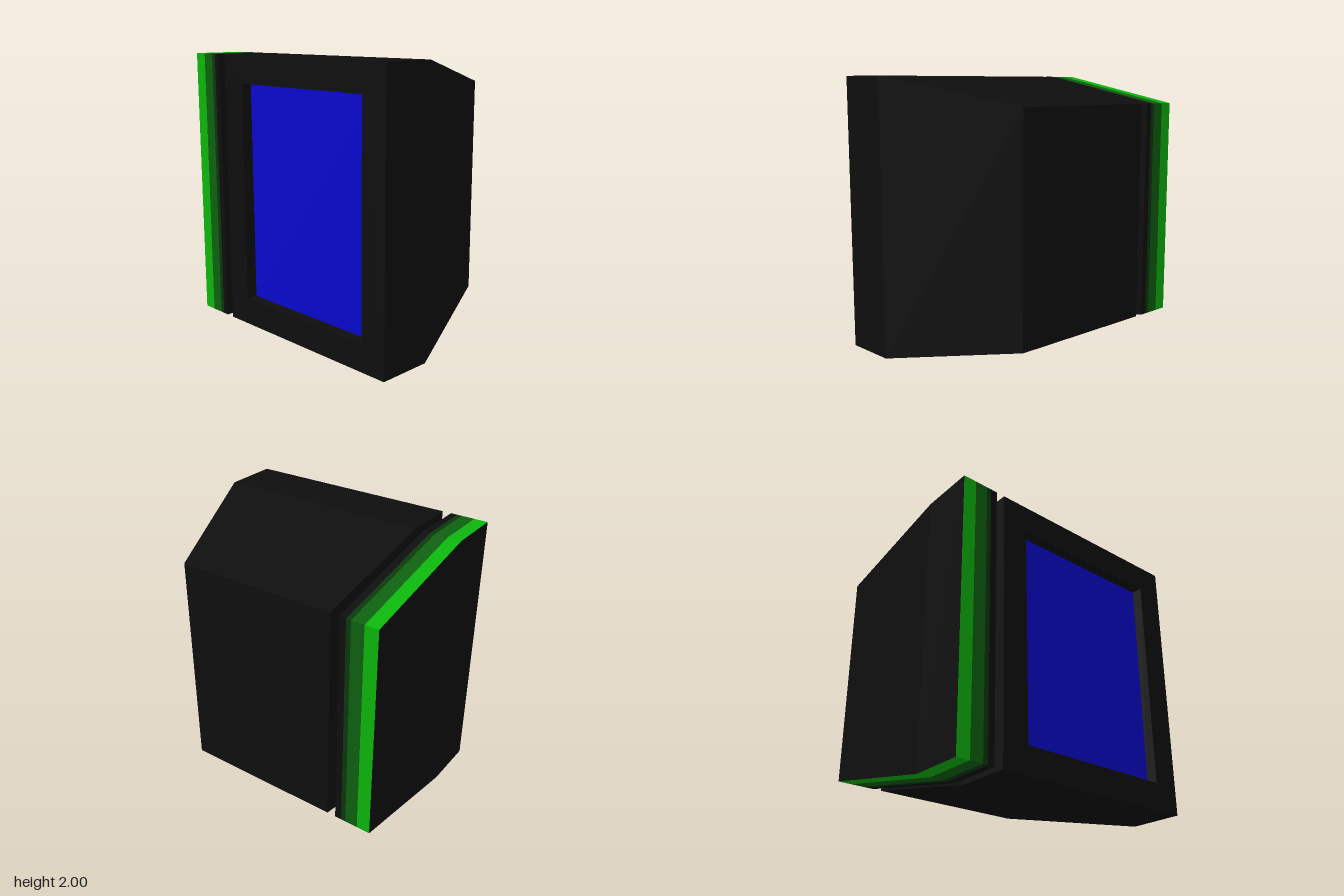
import * as THREE from 'three';

const material = (name, color) => {
  const m = new THREE.MeshStandardMaterial({ color });
  m.name = name;
  return m;
};

// Block with a straight stretch up to x = -0.3, then tapering towards x = 0.7.
// chamfer is how far its front face retreats at the narrow end.
function taperedBlock(xStart, zBack, zFront, chamfer = 0) {
  const box = new THREE.BoxGeometry(2, 2, 2, 2, 1, 1);
  const p = box.attributes.position;
  for (let i = 0; i < p.count; i++) {
    const narrow = p.getX(i) > 0.5;
    const x = narrow ? 0.7 : p.getX(i) < -0.5 ? xStart : -0.3;
    const y = 1 + p.getY(i) * (narrow ? 0.8 : 1);
    const z = p.getZ(i) > 0 ? zFront - (narrow ? chamfer : 0) : zBack;
    p.setXYZ(i, x, y, z);
  }
  const g = box.toNonIndexed();
  g.computeVertexNormals();
  return g;
}

export function createModel() {
  const black = material('black casing', 0x0e0e0e);
  const bright = material('bright green', 0x0cb40c);
  const mid = material('mid green', 0x0d600f);
  const deep = material('deep green', 0x0c360d);
  const blue = material('blue glass', 0x0808cc);

  const model = new THREE.Group();
  const add = (name, geometry, mat) => {
    const mesh = new THREE.Mesh(geometry, mat);
    mesh.name = name;
    model.add(mesh);
    return mesh;
  };

  const back = -0.625, front = 0.97, recess = 0.085, margin = 0.2;

  // Main casing behind the window frame
  add('casing', taperedBlock(-0.7 + recess, back, front, 0.4), black);

  // Window frame on the wide side: drawn in (z, y), extruded along x
  const rect = (T, a, b, c, d) => {
    const s = new T();
    s.moveTo(a, c).lineTo(b, c).lineTo(b, d).lineTo(a, d).closePath();
    return s;
  };
  const outline = rect(THREE.Shape, back, front, 0, 2);
  outline.holes.push(rect(THREE.Path, back + margin, front - margin, margin, 2 - margin));
  const frame = new THREE.ExtrudeGeometry(outline, { depth: recess, bevelEnabled: false });
  frame.rotateY(-Math.PI / 2);
  frame.translate(-0.7 + recess, 0, 0);
  add('windowFrame', frame, black);

  // Recessed blue window
  const pane = new THREE.BoxGeometry(0.006, 2 - 2 * margin, front - back - 2 * margin);
  add('windowPane', pane, blue).position.set(-0.7 + recess - 0.002, 1, (front + back) / 2);

  // Separate back panel in bands, with a black rear face
  const bands = [
    ['backPanelInner', -0.74, -0.69, black],
    ['backPanelDeepBand', -0.775, -0.74, deep],
    ['backPanelMidBand', -0.87, -0.775, mid],
    ['backPanelBrightBand', -0.97, -0.87, bright],
  ];
  for (const [name, z0, z1, mat] of bands) {
    add(name, taperedBlock(-0.7, z0, z1), [mat, mat, mat, mat, mat, black]);
  }

  return model;
}
